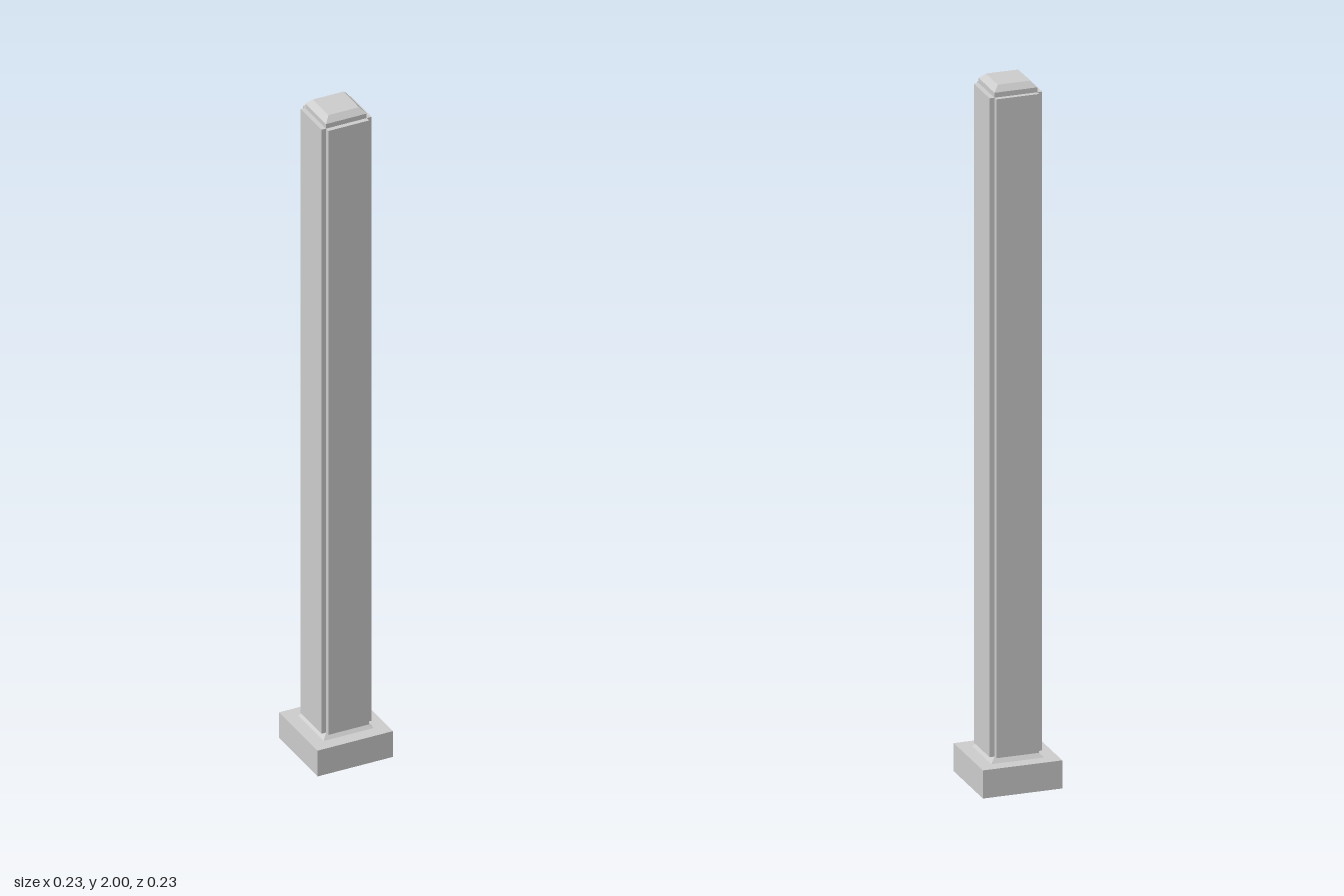
import * as THREE from 'three';

export function createModel() {
  const group = new THREE.Group();
  group.name = 'post';
  const material = new THREE.MeshStandardMaterial({
    color: 0xcccccc, flatShading: true, side: THREE.DoubleSide,
  });

  // Square shell from a profile of [half width, height], open underneath
  function squareShell(name, profile) {
    const points = profile.map(([h, y]) => new THREE.Vector2(h * Math.SQRT2, y));
    const mesh = new THREE.Mesh(new THREE.LatheGeometry(points, 4, Math.PI / 4), material);
    mesh.name = name;
    group.add(mesh);
  }

  const core = 0.061, outer = 0.075, foot = 0.095, shoulder = 1.97;

  // Hollow plinth with a ledge around the post
  squareShell('plinth', [[0.113, 0], [0.113, 0.08], [outer, 0.08]]);
  // Sloped collar where the post meets the plinth
  squareShell('collar', [[outer, 0.08], [core, foot]]);
  // Shaft core
  squareShell('shaft', [[core, foot], [core, shoulder]]);
  // Bevelled cap
  squareShell('cap', [[core, shoulder], [core, 1.984], [0.046, 2], [0, 2]]);

  // Raised panel on each face, leaving notched corners
  const depth = outer - core;
  const panelGeometry = new THREE.BoxGeometry(core * 2, shoulder - foot, depth);
  panelGeometry.translate(0, (shoulder + foot) / 2, core + depth / 2);
  ['frontPanel', 'leftPanel', 'backPanel', 'rightPanel'].forEach((name, i) => {
    const panel = new THREE.Mesh(panelGeometry, material);
    panel.name = name;
    panel.rotation.y = i * Math.PI / 2;
    group.add(panel);
  });

  return group;
}
